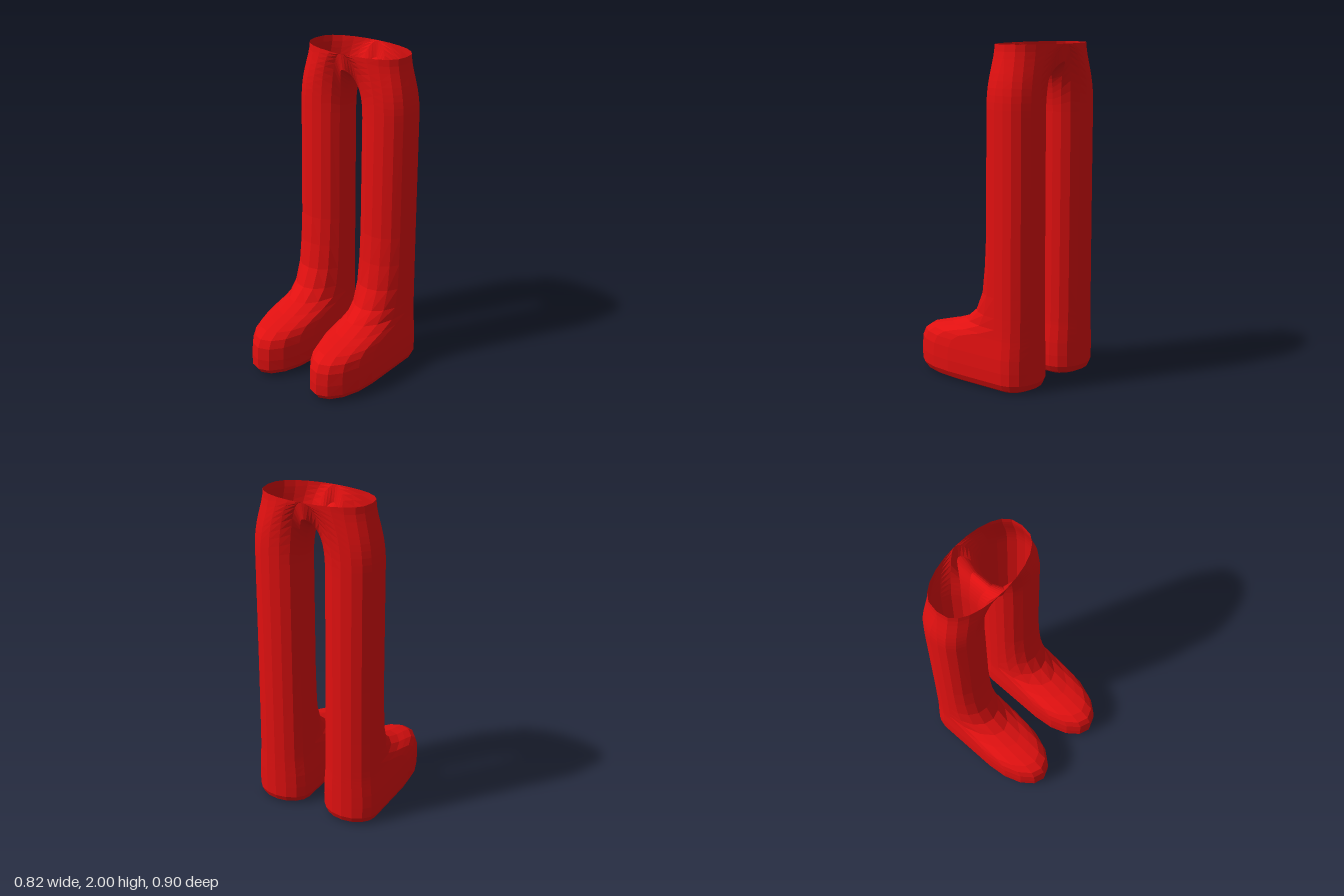
import * as THREE from 'three';

const HALF = 8;              // segments per half ring
const LEG_X = 0.232;         // leg axis
const BACK = -0.295;         // centre of the back half of each ring
const MID_Z = -0.265;        // centre depth of leg and waist

const material = new THREE.MeshStandardMaterial({ color: 0xe01010, flatShading: true, side: THREE.DoubleSide });

// Horizontal ring: rounded heel half, straight sides, front half reaching to z = tip
function ring(y, r, tip, heel = -0.43) {
  const front = Math.max(-0.235, tip - 0.33);
  const points = [];
  for (let j = 0; j <= HALF; j++) {
    const a = (j / HALF) * Math.PI;
    points.push([LEG_X + r * Math.cos(a), y, front + (tip - front) * Math.sin(a)]);
  }
  for (let j = HALF; j >= 0; j--) {
    const a = (j / HALF) * Math.PI;
    points.push([LEG_X + r * Math.cos(a), y, BACK + (heel - BACK) * Math.sin(a)]);
  }
  return points;
}

// Joins closed rings into a surface; side -1 mirrors it in x
function loft(name, rings, side, capBottom = false) {
  const n = rings[0].length;
  const positions = rings.flat().flatMap(([x, y, z]) => [x * side, y, z]);
  const index = [];
  const tri = (a, b, c) => (side > 0 ? index.push(a, b, c) : index.push(a, c, b));
  for (let i = 0; i < rings.length - 1; i++) {
    for (let j = 0; j < n; j++) {
      const a = i * n + j, b = i * n + ((j + 1) % n);
      tri(a, a + n, b);
      tri(b, a + n, b + n);
    }
  }
  if (capBottom) {
    const centre = positions.length / 3;
    positions.push(LEG_X * side, rings[0][0][1], 0);
    for (let j = 0; j < n; j++) tri(centre, j, (j + 1) % n);
  }
  const geometry = new THREE.BufferGeometry();
  geometry.setAttribute('position', new THREE.Float32BufferAttribute(positions, 3));
  geometry.setIndex(index);
  geometry.computeVertexNormals();
  const mesh = new THREE.Mesh(geometry, material);
  mesh.name = name;
  return mesh;
}

// Where each column of the front half ends: waist rim, then down the crotch seam
function hipTarget(j) {
  if (j === 7) return [0, 1.9, -0.1];
  if (j === 8) return [0, 1.838, -0.2];
  const a = (j / 6) * Math.PI / 2;
  return [0.335 * Math.cos(a), 2, MID_Z + 0.185 * Math.pow(Math.sin(a), 0.75)];
}

// Rings that morph from the top of the leg to half of the waist
function hipRings(base, steps) {
  const rings = [];
  for (let i = 0; i <= steps; i++) {
    const t = i / steps;
    const s = Math.sin(t * Math.PI / 2), c = Math.cos(t * Math.PI / 2);
    const ease = THREE.MathUtils.smoothstep(Math.pow(t, 1.5), 0, 1);
    rings.push(base.map(([x, y, z], k) => {
      const isBack = k > HALF;
      const j = isBack ? 2 * HALF + 1 - k : k;
      const [tx, ty, tz0] = hipTarget(j);
      const tz = isBack ? 2 * MID_Z - tz0 : tz0;
      // inner columns follow an arch, outer ones taper gently to the rim
      const arch = THREE.MathUtils.clamp((j - 3) / 3, 0, 1);
      const mix = THREE.MathUtils.lerp(ease, 1 - c, arch);
      const rise = THREE.MathUtils.lerp(t, s, arch);
      return [x + (tx - x) * mix, y + (ty - y) * rise, z + (tz - z) * ease];
    }));
  }
  return rings;
}

export function createModel() {
  const model = new THREE.Group();
  model.name = 'trousersWithFeet';

  // height, half width, front depth, heel depth
  const foot = [
    [0, 0.135, 0.37, -0.385], [0.015, 0.16, 0.42, -0.415], [0.05, 0.176, 0.447],
    [0.12, 0.178, 0.449], [0.2, 0.176, 0.443], [0.25, 0.172, 0.42], [0.285, 0.169, 0.365],
    [0.31, 0.167, 0.28], [0.33, 0.166, 0.2], [0.37, 0.165, 0.09], [0.44, 0.164, 0],
  ].map((p) => ring(...p));
  const leg = [
    [0.44, 0.164, 0], [0.56, 0.163, -0.055], [0.72, 0.162, -0.08], [0.9, 0.161, -0.093], [1.6, 0.16, -0.1],
  ].map((p) => ring(...p));
  const hip = hipRings(leg[leg.length - 1], 10);

  for (const [label, side] of [['left', 1], ['right', -1]]) {
    const group = new THREE.Group();
    group.name = label + 'Side';
    group.add(
      loft(label + 'Foot', foot, side, true),
      loft(label + 'Leg', leg, side),
      loft(label + 'Hip', hip, side),
    );
    model.add(group);
  }
  return model;
}
